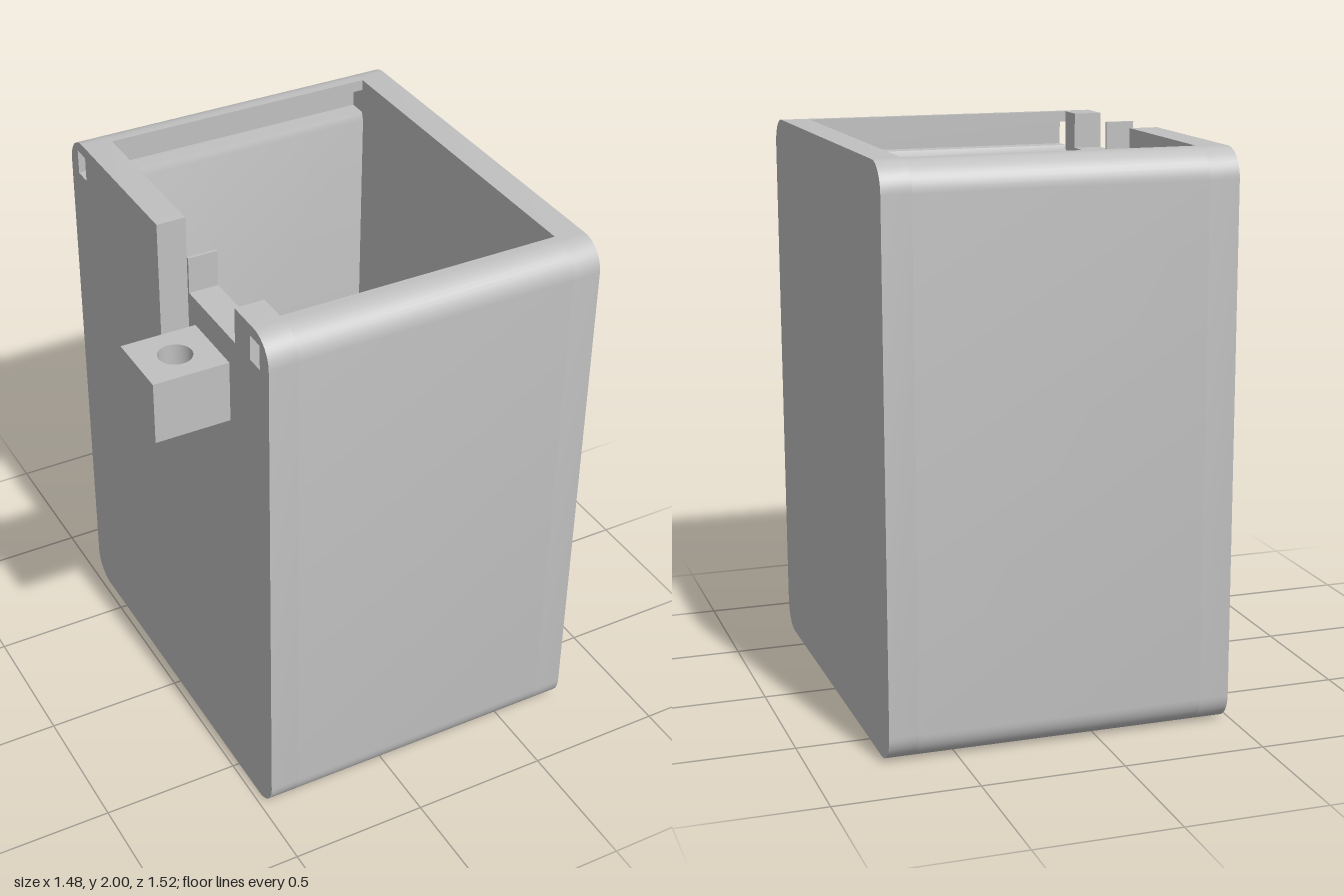
import * as THREE from 'three';
import { toCreasedNormals } from 'three/addons/utils/BufferGeometryUtils.js';

const X0 = -0.475, XI0 = -0.37, XI1 = 0.64, X1 = 0.742; // outer and inner wall faces
const R = 0.1, H = 2, D = 0.76, FLOOR = 0.1;            // edge radius, height, half depth, floor
const LOW = 1.87, HIGH = 1.96;                          // lid groove heights

export function createModel() {
  const group = new THREE.Group();
  const grey = new THREE.MeshStandardMaterial({ color: 0xc0c0c0 });
  grey.name = 'grey';

  const add = (name, geometry) => {
    const mesh = new THREE.Mesh(toCreasedNormals(geometry, 0.5), grey);
    mesh.name = name;
    group.add(mesh);
  };
  const path = (pts) => pts.map(([a, b]) => new THREE.Vector2(-a, b));

  // Profile in [z, y], swept along x
  const sweepX = (name, pts, xa, xb, holes = []) => {
    const shape = new THREE.Shape(path(pts));
    holes.forEach((h) => shape.holes.push(new THREE.Path(path(h))));
    const g = new THREE.ExtrudeGeometry(shape, { depth: xb - xa, bevelEnabled: false });
    add(name, g.rotateY(Math.PI / 2).translate(xa, 0, 0));
  };
  // Plan rectangle with a hole, raised along y
  const plate = (name, xa, xb, za, zb, ya, yb, hole) => {
    const shape = new THREE.Shape([[xa, -zb], [xb, -zb], [xb, -za], [xa, -za]].map((p) => new THREE.Vector2(...p)));
    shape.holes.push(hole);
    const g = new THREE.ExtrudeGeometry(shape, { depth: yb - ya, bevelEnabled: false, curveSegments: 20 });
    add(name, g.rotateX(-Math.PI / 2).translate(0, ya, 0));
  };
  // Quarter-round corner starting at quadrant q
  const arc = (z, y, q) => Array.from({ length: 11 }, (_, i) => {
    const a = (q + i / 10) * Math.PI / 2;
    return [z + R * Math.cos(a), y + R * Math.sin(a)];
  });
  const c = D - R;
  const bottomFront = arc(c, R, -1), topFront = arc(c, H - R, 0);
  const topBack = arc(-c, H - R, 1), bottomBack = arc(-c, R, 2);

  // Closed end wall
  sweepX('closedSideWall', [...bottomFront, ...topFront, ...topBack, ...bottomBack], XI1, X1);

  // Notched side wall with a deep slot, a shallow slot, a thin post and open groove ends
  const grooveEnd = (s) => [[s * 0.635, LOW], [s * 0.7, LOW], [s * 0.7, HIGH], [s * 0.635, HIGH]];
  sweepX('notchedSideWall', [
    ...bottomFront, ...topFront,
    [0.53, H], [0.53, LOW], [0.2, LOW], [0.2, H], [0.19, H],
    [0.19, 1.42], [-0.04, 1.42], [-0.04, H],
    ...topBack, ...bottomBack,
  ], X0, XI0, [grooveEnd(1), grooveEnd(-1)]);

  // Front and back walls with a lid groove below the rim
  const wall = [
    [0.625, 0], ...bottomFront, ...topFront,
    [0.635, H], [0.635, HIGH], [0.7, HIGH], [0.7, LOW], [0.635, LOW], [0.625, LOW - 0.03],
  ];
  sweepX('frontWall', wall, XI0, XI1);
  sweepX('backWall', wall.map(([z, y]) => [-z, y]), XI0, XI1);

  // Floor with an oblong opening
  const r = 0.148, ox = 0.328;
  const oblong = new THREE.Path();
  oblong.absarc(ox, 0.032, r, 0, Math.PI);
  oblong.absarc(ox, -0.188, r, Math.PI, Math.PI * 2);
  oblong.closePath();
  plate('floor', XI0, XI1, -0.625, 0.625, 0, FLOOR, oblong);

  // Side lug with a vertical hole
  const bore = new THREE.Path();
  bore.absarc(-0.607, -0.365, 0.058, 0, Math.PI * 2);
  plate('sideLug', -0.742, X0, 0.24, 0.487, 1.545, 1.77, bore);

  // Small inner rib
  add('innerRib', new THREE.BoxGeometry(0.08, 0.2, 0.04).translate(0.6, FLOOR + 0.1, -0.5));

  return group;
}
